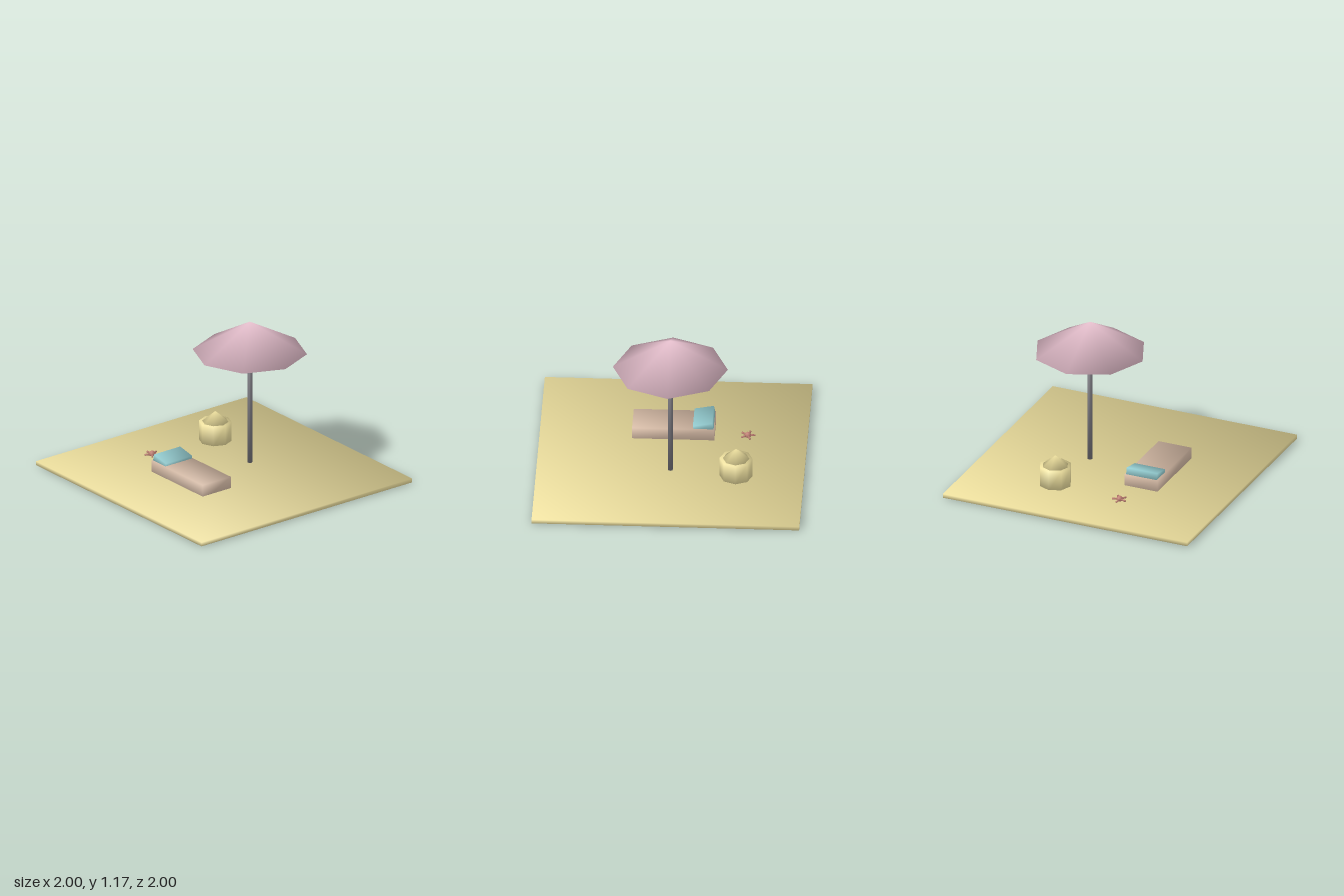
import * as THREE from 'three';
import { mergeVertices } from 'three/addons/utils/BufferGeometryUtils.js';

const SAND = 0xf0e2a0, PINK = 0xebc4d2, GREY = 0x77757c, WOOD = 0xd6bba6, TEAL = 0x96cfd3, CORAL = 0xc08074;

// Weld the corners and give each one an angle-weighted normal, for soft shading across edges.
function soften(source) {
  source.deleteAttribute('uv');
  source.deleteAttribute('normal');
  const geometry = mergeVertices(source, 1e-4);
  const pos = geometry.attributes.position, index = geometry.index;
  const sums = Array.from({ length: pos.count }, () => new THREE.Vector3());
  const corner = (i) => new THREE.Vector3().fromBufferAttribute(pos, i);
  for (let f = 0; f < index.count; f += 3) {
    const ids = [0, 1, 2].map((k) => index.getX(f + k));
    const p = ids.map(corner);
    const face = new THREE.Triangle(...p).getNormal(new THREE.Vector3());
    ids.forEach((id, k) => {
      const a = p[(k + 1) % 3].clone().sub(p[k]);
      const b = p[(k + 2) % 3].clone().sub(p[k]);
      if (a.lengthSq() && b.lengthSq()) sums[id].addScaledVector(face, a.angleTo(b));
    });
  }
  const normals = sums.flatMap((n) => n.normalize().toArray());
  geometry.setAttribute('normal', new THREE.Float32BufferAttribute(normals, 3));
  return geometry;
}

function addPart(parent, name, geometry, color, x, y, z) {
  const mesh = new THREE.Mesh(soften(geometry), new THREE.MeshStandardMaterial({ color }));
  mesh.name = name;
  mesh.position.set(x, y, z);
  parent.add(mesh);
  return mesh;
}

function addGroup(parent, name, x, y, z) {
  const group = new THREE.Group();
  group.name = name;
  group.position.set(x, y, z);
  parent.add(group);
  return group;
}

export function createModel() {
  const model = new THREE.Group();
  model.name = 'beachScene';

  // Square slab of sand
  addPart(model, 'sand', new THREE.BoxGeometry(2, 0.031, 2), SAND, 0, 0.0215, 0);

  // Parasol: the pole goes right through the sand
  const parasol = addGroup(model, 'parasol', 0.245, 0, 0);
  addPart(parasol, 'pole', new THREE.CylinderGeometry(0.019, 0.019, 0.96, 8), GREY, 0, 0.48, 0);
  addPart(parasol, 'canopy', new THREE.ConeGeometry(0.43, 0.243, 8), PINK, 0, 1.0515, 0);

  // Lounger with a tilted cushion at its back end
  const lounger = addGroup(model, 'lounger', -0.311, 0, 0);
  addPart(lounger, 'bed', new THREE.BoxGeometry(0.268, 0.128, 0.615), WOOD, 0, 0.064, 0);
  const cushion = addPart(lounger, 'cushion', new THREE.BoxGeometry(0.25, 0.06, 0.148), TEAL, 0, 0.135, -0.225);
  cushion.rotation.x = 0.19;

  // Sand tower with a pointed top
  const tower = addGroup(model, 'sandTower', 0.306, 0, -0.494);
  addPart(tower, 'towerWall', new THREE.CylinderGeometry(0.123, 0.123, 0.16, 8), SAND, 0, 0.109, 0);
  addPart(tower, 'towerRoof', new THREE.ConeGeometry(0.1, 0.083, 8), SAND, 0, 0.23, 0);

  // Starfish: a rounded body and five thin arms
  const starfish = addGroup(model, 'starfish', -0.247, 0.048, -0.555);
  addPart(starfish, 'starfishBody', new THREE.SphereGeometry(0.025, 8, 6), CORAL, 0, 0, 0);
  for (let i = 0; i < 5; i++) {
    const arm = addGroup(starfish, 'starfishArm', 0, 0, 0);
    arm.rotation.y = (i * Math.PI * 2) / 5;
    const limb = addPart(arm, 'limb', new THREE.CylinderGeometry(0.008, 0.008, 0.045, 6), CORAL, 0, 0, -0.034);
    limb.rotation.x = -Math.PI / 2;
  }

  return model;
}
